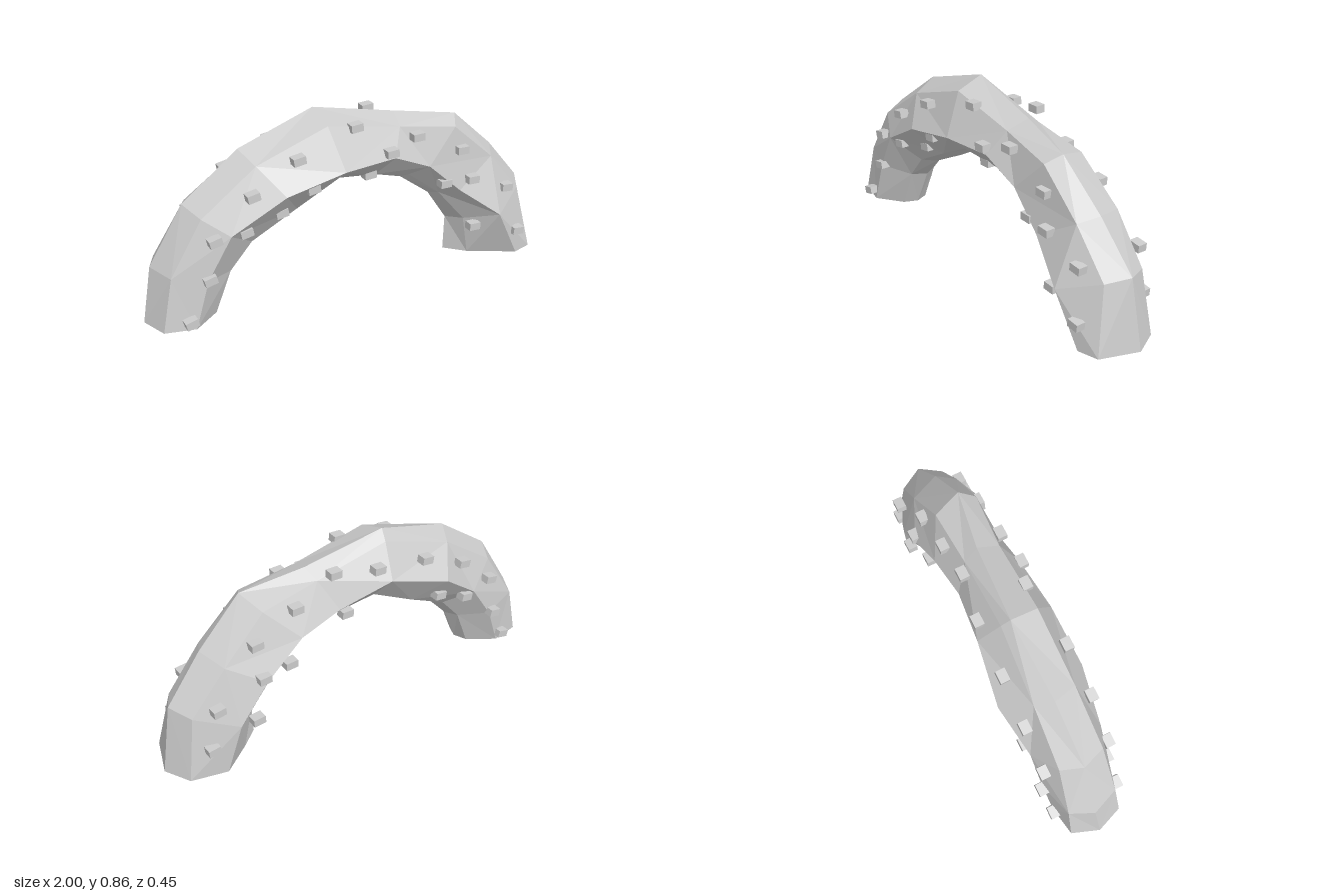
import * as THREE from 'three';

const grey = () => new THREE.MeshStandardMaterial({ color: 0xcccccc, flatShading: true });

// Cross-sections along the arch, from -x to +x:
// outer x, outer y, inner x, inner y, front z, back z, ridge z, front and back shoulder width,
// front crease, back crease and lower corner (0 = inner line, 1 = ridge)
const sections = [
  [-1.00, 0.015, -0.66, 0.015, 0.16, -0.15, 0.00, 0.80, 0.85, 0.45, 0.45, 0.08],
  [-0.95, 0.27, -0.58, 0.20, 0.155, -0.17, -0.02, 0.72, 0.75, 0.45, 0.40, 0.08],
  [-0.79, 0.54, -0.48, 0.31, 0.165, -0.175, -0.01, 0.65, 0.62, 0.50, 0.42, 0.08],
  [-0.52, 0.74, -0.27, 0.42, 0.195, -0.225, -0.02, 0.50, 0.45, 0.46, 0.50, 0.08],
  [-0.15, 0.86, -0.08, 0.53, 0.19, -0.18, -0.04, 0.50, 0.45, 0.28, 0.42, 0.06],
  [0.24, 0.785, 0.10, 0.50, 0.165, -0.145, -0.005, 0.58, 0.52, 0.45, 0.36, 0.08],
  [0.54, 0.74, 0.27, 0.46, 0.155, -0.165, 0.05, 0.78, 0.50, 0.30, 0.34, 0.08],
  [0.76, 0.54, 0.43, 0.34, 0.165, -0.185, 0.03, 0.72, 0.57, 0.26, 0.38, 0.08],
  [0.94, 0.33, 0.54, 0.18, 0.225, -0.19, 0.01, 0.50, 0.52, 0.43, 0.40, 0.12],
  [1.00, 0.00, 0.54, 0.00, 0.20, -0.17, -0.005, 0.86, 0.74, 0.65, 0.50, 0.19],
];
const SIDES = 8;

// Eight corners of one section: ridge, front side, inner line, back side
function ring([xo, yo, xi, yi, zf, zb, zr, sf, sb, front, back, low]) {
  const profile = [
    [1, zr], [0.86, zf * sf], [front, zf], [low, zf * 0.42],
    [0, zr * 0.5], [low, zb * 0.42], [back, zb], [0.86, zb * sb],
  ];
  return profile.map(([u, z]) => [xi + (xo - xi) * u, yi + (yo - yi) * u, z]);
}

function archGeometry() {
  const positions = sections.flatMap(ring).flat();
  const index = [];
  const last = (sections.length - 1) * SIDES;
  for (let i = 0; i < sections.length - 1; i++) {
    for (let j = 0; j < SIDES; j++) {
      const a = i * SIDES + j, b = i * SIDES + (j + 1) % SIDES;
      const c = a + SIDES, d = b + SIDES;
      // alternate the diagonals for a rough, chiselled surface
      if ((i + j) % 2) index.push(a, b, c, b, d, c);
      else index.push(a, b, d, a, d, c);
    }
  }
  // flat feet
  for (let j = 1; j < SIDES - 1; j++) {
    index.push(0, j + 1, j);
    index.push(last, last + j, last + j + 1);
  }
  const g = new THREE.BufferGeometry();
  g.setAttribute('position', new THREE.Float32BufferAttribute(positions, 3));
  g.setIndex(index);
  const flat = g.toNonIndexed();
  flat.computeVertexNormals();
  return flat;
}

// Centres of the small blocks set into each face
const frontBlocks = [
  [-0.84, 0.06, 0.168], [-0.74, 0.24, 0.155], [-0.71, 0.42, 0.16], [-0.56, 0.42, 0.14],
  [-0.53, 0.59, 0.16], [-0.38, 0.46, 0.11], [-0.31, 0.71, 0.15], [-0.25, 0.57, 0.165],
  [-0.01, 0.79, 0.105], [0.07, 0.54, 0.085], [0.14, 0.66, 0.165], [0.29, 0.70, 0.135],
  [0.44, 0.44, 0.145], [0.53, 0.59, 0.14], [0.58, 0.44, 0.165], [0.61, 0.18, 0.15],
  [0.78, 0.355, 0.16], [0.83, 0.13, 0.205],
];
const backBlocks = [
  [-0.83, 0.06, -0.16], [-0.74, 0.24, -0.18], [-0.71, 0.44, -0.165], [-0.55, 0.41, -0.175],
  [-0.53, 0.60, -0.165], [-0.40, 0.47, -0.16], [-0.31, 0.70, -0.16], [-0.05, 0.74, -0.15],
  [0.10, 0.55, -0.115], [0.16, 0.78, -0.115], [0.36, 0.68, -0.118], [0.43, 0.45, -0.165],
  [0.57, 0.585, -0.125], [0.57, 0.44, -0.178], [0.62, 0.245, -0.19], [0.79, 0.355, -0.16],
  [0.83, 0.155, -0.158],
];

function addBlocks(group, centres, name) {
  const geometry = new THREE.BoxGeometry(0.058, 0.036, 0.045);
  const material = grey();
  const blocks = new THREE.Group();
  blocks.name = name;
  for (const [x, y, z] of centres) {
    const block = new THREE.Mesh(geometry, material);
    block.name = 'block';
    block.position.set(x, y, z);
    block.rotation.z = 0.08 - 0.2 * x;
    blocks.add(block);
  }
  group.add(blocks);
}

export function createModel() {
  const model = new THREE.Group();
  model.name = 'rockArch';
  const arch = new THREE.Mesh(archGeometry(), grey());
  arch.name = 'archBody';
  model.add(arch);
  addBlocks(model, frontBlocks, 'frontBlocks');
  addBlocks(model, backBlocks, 'backBlocks');
  return model;
}
